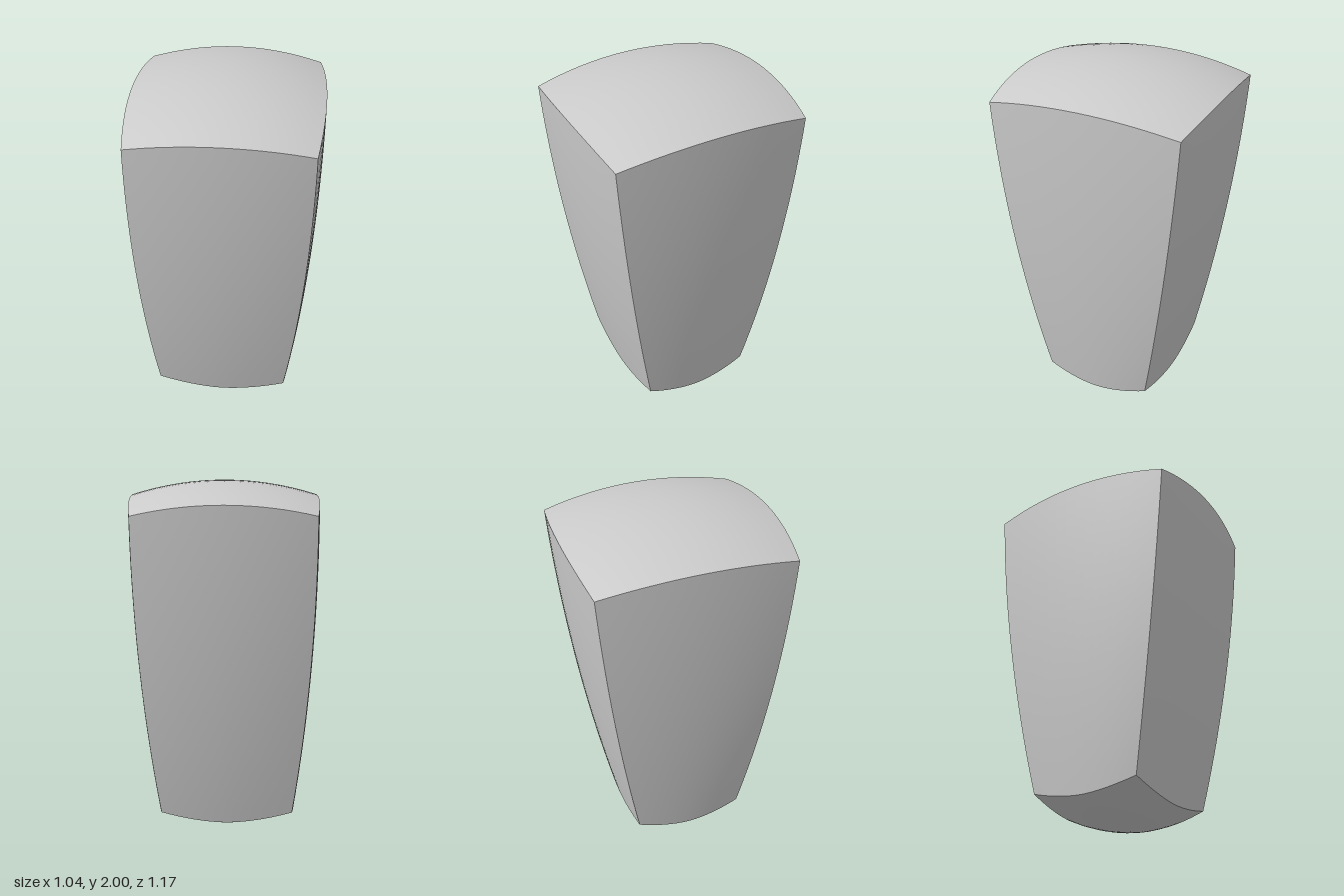
import * as THREE from 'three';

const lerp = THREE.MathUtils.lerp;

// Half width at height t (0 bottom, 1 top), bulging between its ends
const bulged = (bottom, top, bulge, t) => lerp(bottom, top, t) + bulge * 4 * t * (1 - t);

// Maps a point of the cube [-1, 1]^3 to the tapered, pillowed block
function pillow(p) {
  const t = (p.y + 1) / 2;
  const u = Math.abs(p.x), v = Math.abs(p.z);
  const u2 = u * u, v2 = v * v;

  // Half sizes shrink from the middle of each face towards its corners
  const halfX = lerp(bulged(0.395, 0.52, 0.035, t), bulged(0.373, 0.483, 0.03, t), v2);
  const halfZ = lerp(bulged(0.325, 0.585, 0.04, t), bulged(0.313, 0.544, 0.028, t), u2);

  // Domed top and slightly more pointed underside
  const top = 2 - 0.08 * (u2 + v2) + 0.02 * u2 * v2;
  const bu = Math.pow(u, 1.75), bv = Math.pow(v, 1.75);
  const bottom = 0.088 * (bu + bv) - 0.031 * bu * bv;

  // The foot leans a little to one side
  p.set(p.x * halfX - 0.015 * (1 - t), lerp(bottom, top, t), p.z * halfZ);
}

export function createModel() {
  const group = new THREE.Group();
  group.name = 'taperedBlock';

  // Each side has its own vertices, so faces shade smoothly and edges stay sharp
  const geometry = new THREE.BoxGeometry(2, 2, 2, 16, 20, 16);
  const position = geometry.attributes.position;
  const p = new THREE.Vector3();
  for (let i = 0; i < position.count; i++) {
    pillow(p.fromBufferAttribute(position, i));
    position.setXYZ(i, p.x, p.y, p.z);
  }
  geometry.computeVertexNormals();

  const block = new THREE.Mesh(geometry, new THREE.MeshStandardMaterial({ color: 0xcccccc }));
  block.name = 'block';
  group.add(block);
  return group;
}
